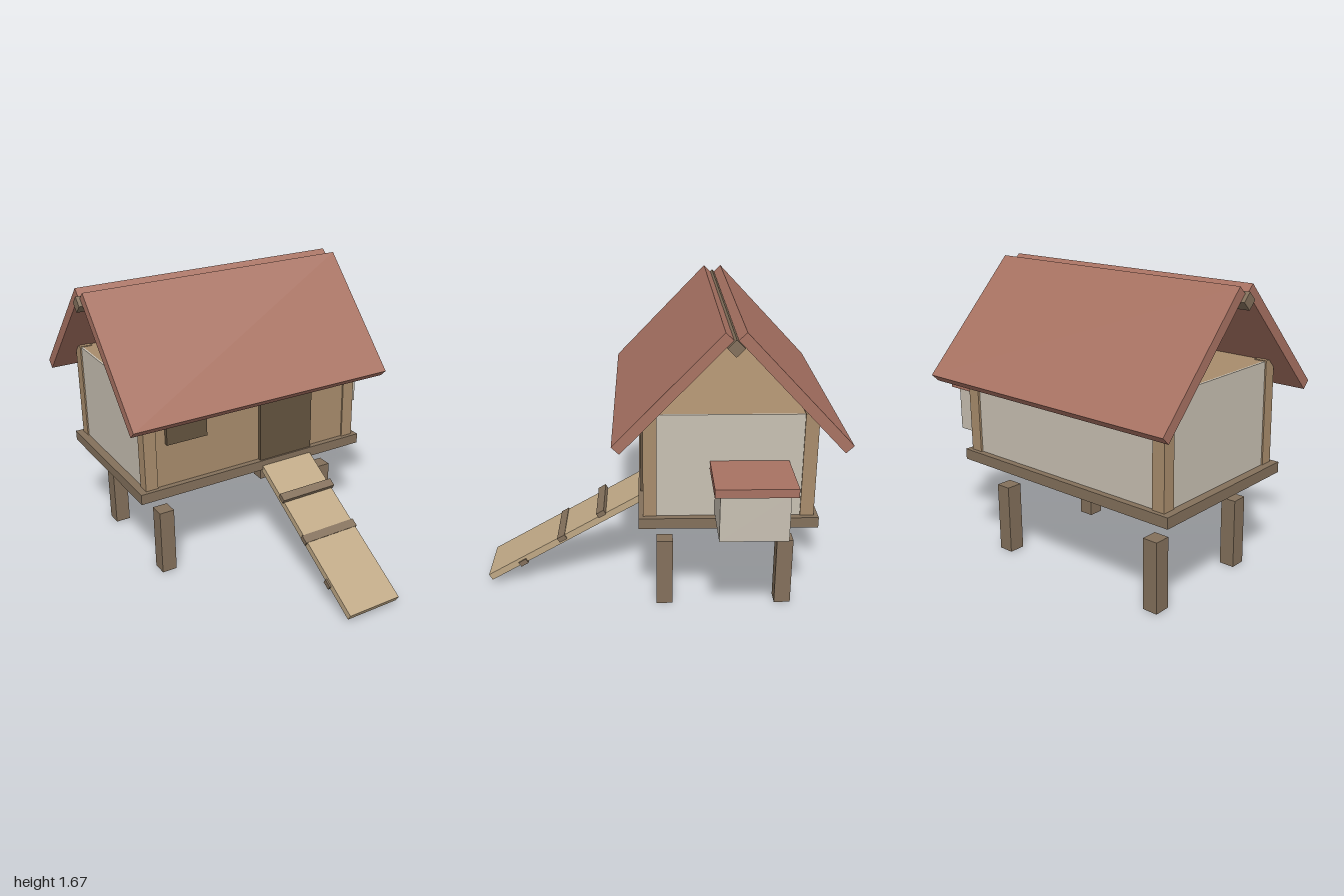
import * as THREE from 'three';

const material = (color) => new THREE.MeshStandardMaterial({ color });

export function createModel() {
  const model = new THREE.Group();
  const roofRed = material(0xa87262);
  const wood = material(0xa88c6c);
  const darkWood = material(0x83705b);
  const doorWood = material(0x64533f);
  const rampWood = material(0xbfa885);
  const pale = material(0xc8c0b2);

  // Adds a box given its extents along each axis
  function block(name, mat, [x0, x1], [y0, y1], [z0, z1], parent = model) {
    const mesh = new THREE.Mesh(new THREE.BoxGeometry(x1 - x0, y1 - y0, z1 - z0), mat);
    mesh.position.set((x0 + x1) / 2, (y0 + y1) / 2, (z0 + z1) / 2);
    mesh.name = name;
    parent.add(mesh);
    return mesh;
  }

  const midX = -0.105, midZ = -0.378;

  // Legs, standing clear of the floor
  for (const x of [-0.655, 0.445])
    for (const z of [-0.038, -0.715])
      block('leg', darkWood, [x - 0.045, x + 0.045], [0, 0.4], [z - 0.046, z + 0.046]);

  block('floor', darkWood, [-0.85, 0.63], [0.555, 0.615], [-0.863, 0.107]);

  // House: timber core, pale cladding on the back and both ends
  const wallY = [0.615, 1.195];
  block('houseBody', wood, [-0.79, 0.58], wallY, [-0.817, 0.073]);
  block('backWall', pale, [-0.735, 0.525], wallY, [-0.827, -0.815]);
  for (const s of [-1, 1]) {
    const x = midX + s * 0.69;
    block('endWall', pale, [x - 0.006, x + 0.006], wallY, [-0.765, 0.01]);
    // Corner posts
    const px = midX + s * 0.667;
    for (const t of [-1, 1]) {
      const pz = midZ + t * 0.424;
      block('cornerPost', wood, [px - 0.037, px + 0.037], [0.615, 1.2], [pz - 0.037, pz + 0.037]);
    }
  }

  block('door', doorWood, [-0.075, 0.28], [0.615, 1.08], [0.06, 0.097]);
  block('window', doorWood, [-0.675, -0.425], [0.87, 1.08], [0.06, 0.097]);

  // Two roof slopes with a square ridge beam turned on edge
  for (const s of [-1, 1]) {
    const slope = block('roofSlope', roofRed, [-0.93, 0.715], [0, 0.058], [0, 0.827]);
    slope.position.set(-0.1075, 1.346, midZ + s * 0.317);
    slope.rotation.x = s * THREE.MathUtils.degToRad(46.5);
  }
  const ridge = block('ridgeBeam', darkWood, [-0.95, 0.735], [0, 0.064], [0, 0.064]);
  ridge.position.set(-0.1075, 1.59, midZ);
  ridge.rotation.x = Math.PI / 4;

  // Nest box on the left end
  const nest = new THREE.Group();
  nest.name = 'nestBox';
  model.add(nest);
  block('nestBody', pale, [0.57, 0.915], [0.628, 0.89], [-0.66, -0.303], nest);
  block('nestRoof', roofRed, [0.575, 0.948], [0.888, 0.935], [-0.692, -0.272], nest);

  // Ramp and its cross bars
  const tilt = Math.PI / 6;
  const ramp = block('ramp', rampWood, [-0.065, 0.27], [0, 0.04], [0, 1.04]);
  ramp.position.set(0.1025, 0.308, 0.54);
  ramp.rotation.x = tilt;
  for (const [y, z] of [[0.467, 0.325], [0.308, 0.557], [0.149, 0.79]]) {
    const bar = block('rampBar', darkWood, [-0.075, 0.28], [0, 0.03], [0, 0.05]);
    bar.position.set(0.1025, y, z);
    bar.rotation.x = tilt;
  }

  return model;
}
